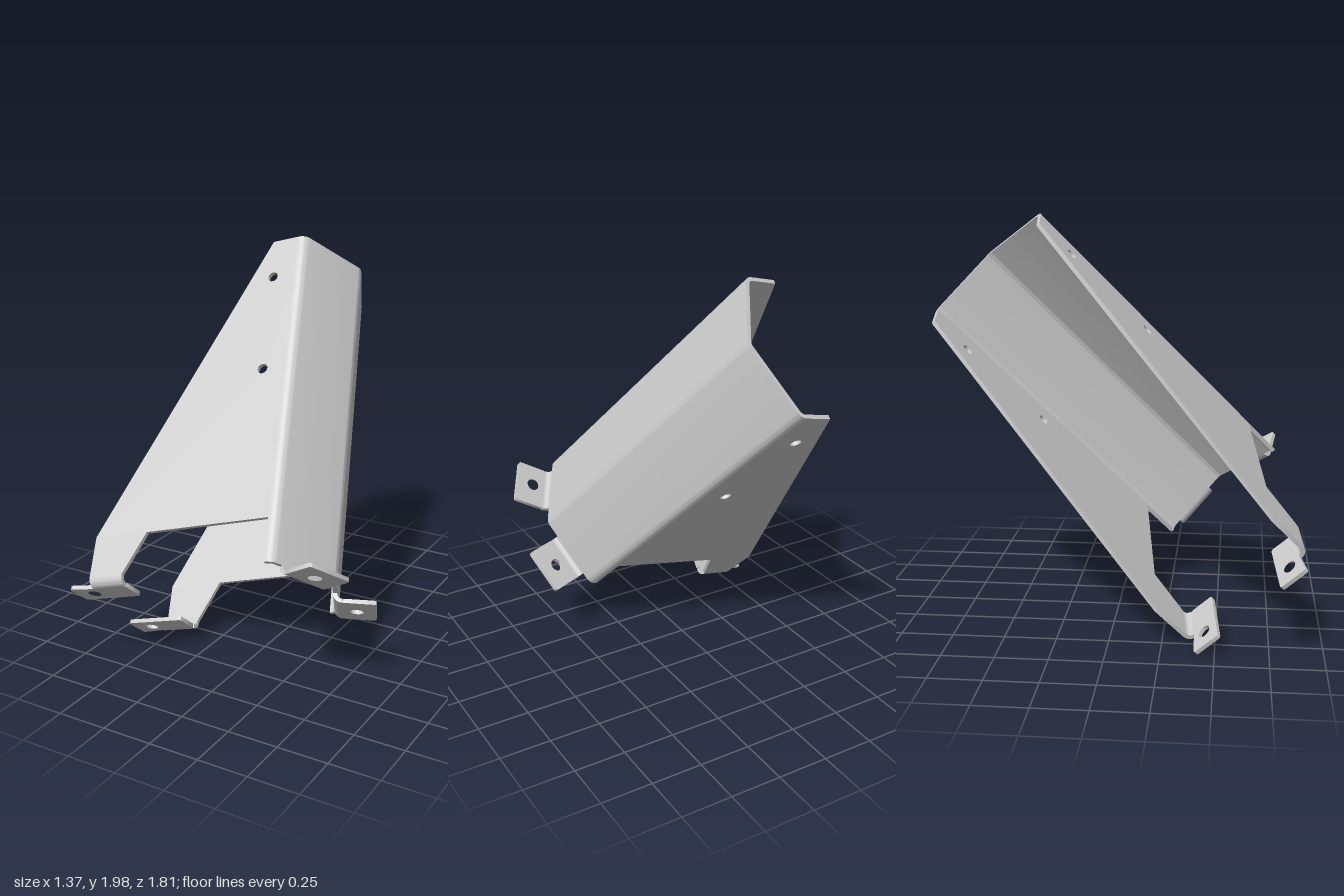
import * as THREE from 'three';
import { toCreasedNormals } from 'three/addons/utils/BufferGeometryUtils.js';

const T = 0.02;        // sheet thickness
const HALF = 0.362;    // half distance between the outer faces of the side plates
const LENGTH = 1.733;  // length of the channel
const RIDGE = 0.15;    // how far the folded spine stands out
const JOIN = -0.04;    // where the side plates meet the spine

const V = (x, y, z) => new THREE.Vector3(x, y, z);

function addHole(shape, x, y, r) {
  const hole = new THREE.Path();
  hole.absarc(x, y, r, 0, Math.PI * 2, true);
  shape.holes.push(hole);
}

function extrude(shape, depth) {
  const geometry = new THREE.ExtrudeGeometry(shape, { depth, bevelEnabled: false, curveSegments: 12 });
  return toCreasedNormals(geometry, 0.6);
}

// Polygon whose corners are trimmed by small curves of radius r
function roundedShape(points, r) {
  const shape = new THREE.Shape();
  const p = points.map(([x, y]) => new THREE.Vector2(x, y));
  p.forEach((c, i) => {
    const toward = (q) => c.clone().add(q.clone().sub(c).setLength(r));
    const a = toward(p[(i + p.length - 1) % p.length]);
    const b = toward(p[(i + 1) % p.length]);
    if (i === 0) shape.moveTo(a.x, a.y); else shape.lineTo(a.x, a.y);
    shape.quadraticCurveTo(c.x, c.y, b.x, b.y);
  });
  shape.closePath();
  return shape;
}

// Spine: a strip folded three times, extruded along the channel
function spineGeometry() {
  const R = 0.05;
  const slope = Math.atan2(RIDGE, HALF);
  const folds = [
    [0, HALF, Math.PI / 2, slope],
    [RIDGE, 0, slope, -slope],
    [0, -HALF, -slope, -Math.PI / 2],
  ];
  const outer = [[JOIN, HALF]];
  const inner = [[JOIN, HALF - T]];
  for (const [x, y, from, to] of folds) {
    const mid = (from + to) / 2;
    const back = R / Math.cos((from - to) / 2);
    const cx = x - back * Math.cos(mid), cy = y - back * Math.sin(mid);
    for (let i = 0; i <= 8; i++) {
      const angle = from + (to - from) * i / 8;
      outer.push([cx + R * Math.cos(angle), cy + R * Math.sin(angle)]);
      inner.push([cx + (R - T) * Math.cos(angle), cy + (R - T) * Math.sin(angle)]);
    }
  }
  outer.push([JOIN, -HALF]);
  inner.push([JOIN, -HALF + T]);
  const outline = outer.concat(inner.reverse()).map(([x, y]) => new THREE.Vector2(x, y));
  return extrude(new THREE.Shape(outline), LENGTH).rotateX(-Math.PI / 2);
}

// Side plate: tapered, with a cut-out that leaves a leg, and two holes
function plateGeometry() {
  const shape = new THREE.Shape([
    [JOIN, LENGTH], [-0.175, LENGTH], [-0.965, 0.2], [-0.965, 0],
    [-0.785, 0], [-0.68, 0.2], [JOIN, 0.212],
  ].map(([x, y]) => new THREE.Vector2(x, y)));
  addHole(shape, -0.157, 1.518, 0.026);
  addHole(shape, -0.157, 0.993, 0.026);
  return extrude(shape, T);
}

// Tab folded at a right angle off a sheet edge; u runs along the fold, w points outward
function makeTab(name, material, { origin, outward, sign, bend, outline, hole }) {
  const r = 0.025;
  const group = new THREE.Group();
  group.name = name;

  const ring = new THREE.Shape();
  ring.absarc(r, 0, r + T, Math.PI, Math.PI * 1.5, false);
  ring.absarc(r, 0, r, Math.PI * 1.5, Math.PI, true);
  const [u0, u1] = bend.map((u) => u * sign).sort((a, b) => a - b);
  const fold = new THREE.Mesh(extrude(ring, u1 - u0).rotateY(-Math.PI / 2).translate(u1, 0, 0), material);
  fold.name = name + 'Fold';

  const shape = roundedShape(outline.map(([u, w]) => [u * sign, w]), 0.015);
  addHole(shape, hole[0] * sign, hole[1], 0.032);
  const flat = new THREE.Mesh(extrude(shape, T).rotateX(Math.PI / 2).translate(0, -r, 0), material);
  flat.name = name + 'Flat';

  const up = V(0, 1, 0);
  const along = up.clone().cross(outward);
  group.applyMatrix4(new THREE.Matrix4().makeBasis(along, up, outward).setPosition(origin));
  group.add(fold, flat);
  return group;
}

export function createModel() {
  const metal = new THREE.MeshStandardMaterial({ color: 0xcccccc });
  metal.name = 'light grey metal';

  const bracket = new THREE.Group();
  bracket.name = 'bracket';
  const spine = new THREE.Mesh(spineGeometry(), metal);
  spine.name = 'spine';
  bracket.add(spine);

  for (const s of [1, -1]) {
    const side = s > 0 ? 'upper' : 'lower';

    const plate = new THREE.Mesh(plateGeometry(), metal);
    plate.name = side + 'Plate';
    plate.position.z = s > 0 ? HALF - T : -HALF;
    bracket.add(plate);

    // Foot folded inward under the leg
    bracket.add(makeTab(side + 'Foot', metal, {
      origin: V(0, 0, s * (HALF - T)),
      outward: V(0, 0, -s),
      sign: -s,
      bend: [-0.965, -0.785],
      outline: [[-1.092, 0.01], [-0.967, 0.01], [-0.965, 0.025], [-0.785, 0.025], [-0.785, 0.157], [-1.092, 0.157]]
        .filter((p) => p[0] !== -0.967),
      hole: [-0.998, 0.085],
    }));

    // Ear folded outward from the spine
    bracket.add(makeTab(side + 'Ear', metal, {
      origin: V(RIDGE / 2, 0, s * HALF / 2),
      outward: V(HALF, 0, s * RIDGE).normalize(),
      sign: -s,
      bend: [-0.105, 0.13],
      outline: [[-0.105, 0.024], [0.13, 0.024], [0.13, 0.185], [-0.105, 0.185]],
      hole: [0.018, 0.092],
    }));
  }

  // Lean the whole bracket into its resting pose
  const up = V(-0.266, 0.705, -0.659).normalize();
  const normal = V(-0.083, 0.653, 0.75);
  normal.addScaledVector(up, -normal.dot(up)).normalize();
  const across = up.clone().cross(normal);
  bracket.applyMatrix4(new THREE.Matrix4().makeBasis(across, up, normal).setPosition(0.38, 0.545, 0.51));

  const model = new THREE.Group();
  model.name = 'sheetMetalBracket';
  model.add(bracket);
  return model;
}
